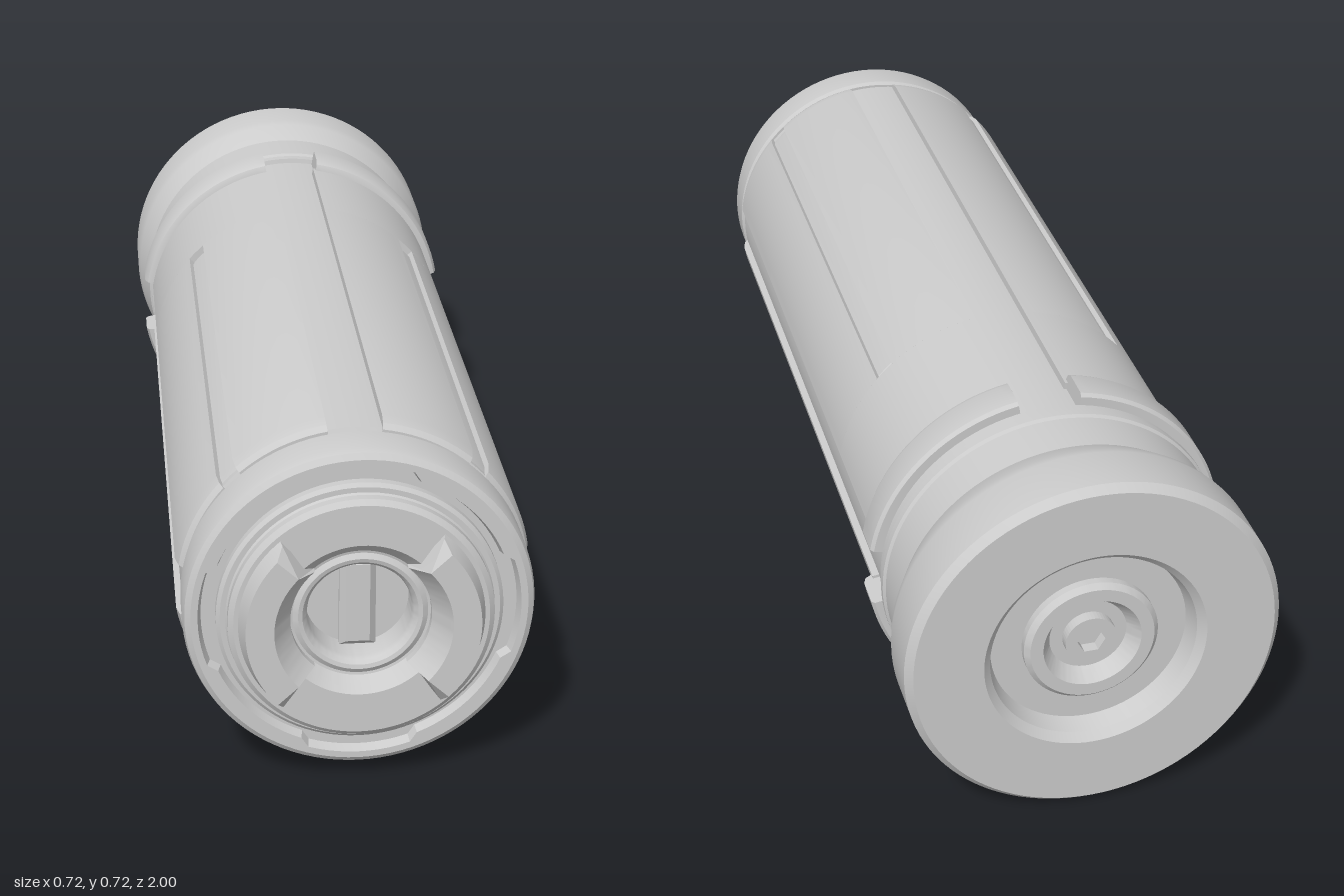
import * as THREE from 'three';
import { toCreasedNormals, mergeGeometries } from 'three/addons/utils/BufferGeometryUtils.js';

const DEG = Math.PI / 180;
const CENTRE_Y = 0.363;
const solid = new THREE.MeshStandardMaterial({ color: 0xcccccc });
const thin = new THREE.MeshStandardMaterial({ color: 0xcccccc, side: THREE.DoubleSide });
const vectors = (profile) => profile.map(([r, z]) => new THREE.Vector2(r, z));

function part(name, geometry, material = solid) {
  const mesh = new THREE.Mesh(geometry, material);
  mesh.name = name;
  return mesh;
}

// Surface of revolution about z; profile points are [radius, z], running rear to front
function turned(profile, adjust) {
  const g = new THREE.LatheGeometry(vectors(profile), 96).rotateX(Math.PI / 2);
  if (adjust) adjust(g.attributes.position);
  return toCreasedNormals(g, 0.45);
}

// Closed profile swept through an arc, with flat ends
function sector(profile, fromDeg, toDeg, adjust) {
  const from = fromDeg * DEG, to = toDeg * DEG;
  const points = vectors(profile);
  const steps = Math.max(4, Math.ceil((toDeg - fromDeg) / 3.5));
  const sweep = new THREE.LatheGeometry([...points, points[0]], steps, from, to - from);
  const caps = [from, to].map((a) =>
    new THREE.ShapeGeometry(new THREE.Shape(points)).rotateY(a - Math.PI / 2));
  const g = mergeGeometries([sweep, ...caps]).rotateX(Math.PI / 2);
  if (adjust) adjust(g.attributes.position);
  return toCreasedNormals(g, 0.45);
}

export function createModel() {
  const model = new THREE.Group();
  const axis = new THREE.Group();
  axis.name = 'barrel';
  axis.position.y = CENTRE_Y;
  model.add(axis);

  // Inner tube, seen in the long channels
  axis.add(part('innerTube', turned([
    [0.3, -0.7], [0.323, -0.69], [0.323, 0.82], [0.312, 0.825], [0.312, 0.85],
  ])));

  // Rear cap with its stepped recess and ribbed neck
  axis.add(part('rearCap', turned([
    [0, -0.945], [0.075, -0.945], [0.095, -0.975], [0.12, -0.975], [0.13, -0.965],
    [0.13, -0.95], [0.19, -0.95], [0.2, -0.985], [0.215, -1], [0.348, -1],
    [0.362, -0.985], [0.362, -0.885], [0.357, -0.865], [0.338, -0.825],
    [0.333, -0.815], [0.333, -0.72], [0.338, -0.715], [0.338, -0.7],
    [0.333, -0.695], [0.333, -0.675], [0.31, -0.67],
  ])));

  // Socket screw in the rear recess
  const head = new THREE.Shape().absarc(0, 0, 0.05, 0, Math.PI * 2);
  const socket = Array.from({ length: 6 }, (_, i) =>
    new THREE.Vector2(0.027 * Math.cos(i * 60 * DEG), 0.027 * Math.sin(i * 60 * DEG)));
  head.holes.push(new THREE.Path(socket));
  axis.add(part('rearScrew', new THREE.ExtrudeGeometry(head, {
    depth: 0.022, curveSegments: 24, bevelEnabled: false,
  }).translate(0, 0, -0.967)));

  // Four shell panels, each with a diagonal slot, and four raised clamp bands
  const solidPanel = [[0.315, -0.6], [0.337, -0.6], [0.337, -0.32], [0.315, -0.32]];
  const slottedPanel = [[0.315, -0.32], [0.337, -0.32], [0.337, 0.79], [0.331, 0.815], [0.322, 0.825], [0.315, 0.825]];
  const slotFloor = [[0.315, -0.32], [0.327, -0.3], [0.327, 0.79], [0.32, 0.82], [0.315, 0.82]];
  const band = [[0.315, -0.675], [0.35, -0.675], [0.356, -0.668], [0.356, -0.605], [0.35, -0.592], [0.337, -0.586], [0.315, -0.586]];
  for (let i = 0; i < 4; i++) {
    const a = i * 90;
    const quarter = new THREE.Group();
    quarter.name = 'shellQuarter';
    quarter.add(
      part('shellPanelRear', sector(solidPanel, a + 9, a + 81), thin),
      part('shellPanelSide', sector(slottedPanel, a + 9, a + 41.3), thin),
      part('shellPanelSide', sector(slottedPanel, a + 48.7, a + 81), thin),
      part('slotFloor', sector(slotFloor, a + 41.3, a + 48.7), thin),
      part('clampBand', sector(band, a + 10, a + 80), thin),
    );
    axis.add(quarter);
  }

  // Front collar; its recess widens in four places
  const widen = (p) => {
    for (let i = 0; i < p.count; i++) {
      const x = p.getX(i), y = p.getY(i), r = Math.hypot(x, y);
      if (p.getZ(i) < 0.91 || r < 0.272 || r > 0.29) continue;
      const angle = Math.atan2(Math.min(Math.abs(x), Math.abs(y)), Math.max(Math.abs(x), Math.abs(y)));
      if (angle < 19.5 * DEG) p.setXY(i, x * 1.05, y * 1.05);
    }
  };
  axis.add(part('frontCollar', turned([
    [0.3, 0.838], [0.32, 0.838], [0.326, 0.845], [0.326, 0.912], [0.322, 0.926],
    [0.311, 0.934], [0.284, 0.934], [0.278, 0.915], [0.24, 0.915],
  ], widen)));

  // Stepped front plug with a central well
  axis.add(part('frontPlug', turned([
    [0.265, 0.91], [0.265, 0.93], [0.258, 0.936], [0.248, 0.936], [0.245, 0.94],
    [0.245, 0.956], [0.235, 0.964], [0.155, 0.964], [0.13, 0.935], [0.125, 0.934],
    [0.115, 0.94], [0.107, 0.938], [0.1, 0.93], [0.097, 0.92], [0.097, 0.87], [0, 0.87],
  ])));

  // Two raised arcs left and right, with sloping ends
  const lug = [[0.13, 0.935], [0.232, 0.95], [0.222, 0.975], [0.215, 1], [0.163, 1], [0.13, 0.95]];
  for (const middle of [90, 270]) {
    const slope = (p) => {
      const side = middle === 90 ? 1 : -1;
      for (let i = 0; i < p.count; i++) {
        if (p.getZ(i) < 0.98) continue;
        const x = p.getX(i) * side, y = p.getY(i);
        const r = Math.hypot(x, y), a = Math.atan2(y, x) * 0.88;
        p.setXY(i, r * Math.cos(a) * side, r * Math.sin(a));
      }
    };
    axis.add(part('frontLug', sector(lug, middle - 49, middle + 49, slope), thin));
  }

  // Upright bar across the floor of the well
  const bar = new THREE.Shape(vectors([[-0.022, -0.08], [0.022, -0.08], [0.022, 0.08], [-0.022, 0.08]]));
  axis.add(part('wellBar', new THREE.ExtrudeGeometry(bar, {
    depth: 0.01, bevelThickness: 0.012, bevelSize: 0.012, bevelSegments: 1,
  }).translate(0, 0, 0.875)));

  return model;
}
